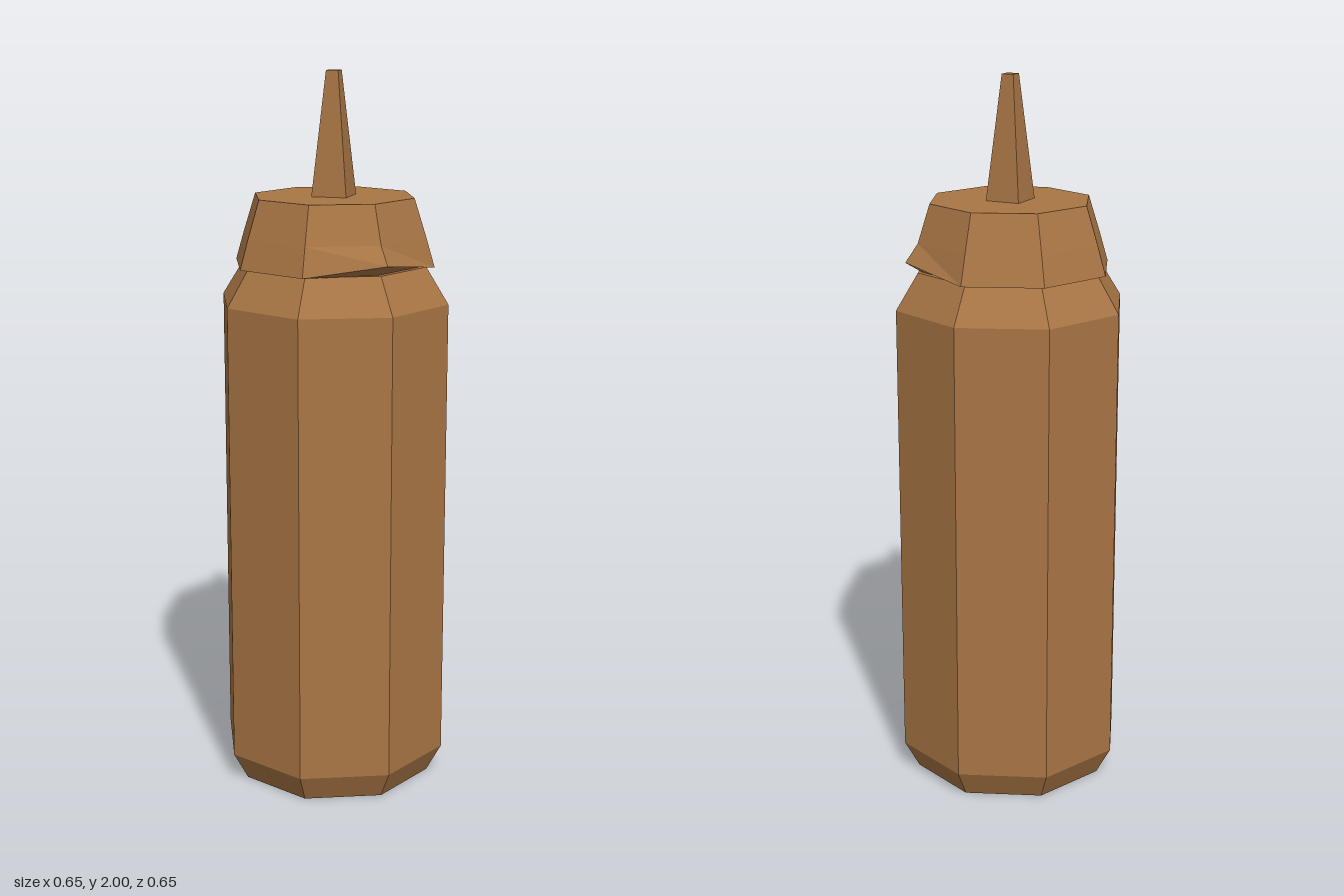
import * as THREE from 'three';

const tan = new THREE.MeshStandardMaterial({ color: 0xa97645 });
tan.name = 'warmTan';

// Faceted solid of revolution from [radius, height] points, listed bottom to top
function facetedLathe(name, profile, sides, rule) {
  const points = profile.map(([r, y]) => new THREE.Vector2(r, y));
  const indexed = new THREE.LatheGeometry(points, sides);
  if (rule) {
    const p = indexed.attributes.position;
    const v = new THREE.Vector3();
    for (let i = 0; i < p.count; i++) {
      rule(v.fromBufferAttribute(p, i));
      p.setXYZ(i, v.x, v.y, v.z);
    }
  }
  const geometry = indexed.toNonIndexed();
  geometry.computeVertexNormals();
  const mesh = new THREE.Mesh(geometry, tan);
  mesh.name = name;
  return mesh;
}

// The cap rim flares up slightly at its left and front corners
function flareRim(v) {
  const onRim = Math.abs(v.y - 1.48) < 0.001;
  if (onRim && Math.max(v.x, v.z) > 0.28) {
    v.x *= 1.04;
    v.z *= 1.04;
    v.y = 1.51;
  }
}

export function createModel() {
  const model = new THREE.Group();
  model.name = 'squeezeBottle';

  // Octagonal body with bevelled foot and sloping shoulder
  model.add(facetedLathe('body', [
    [0, 0], [0.282, 0], [0.325, 0.08], [0.325, 1.38], [0.262, 1.48], [0, 1.48],
  ], 8));

  // Screw cap
  model.add(facetedLathe('cap', [
    [0.25, 1.481], [0.285, 1.48], [0.261, 1.56], [0.227, 1.665], [0, 1.665],
  ], 8, flareRim));

  // Four-sided tapering nozzle
  model.add(facetedLathe('nozzle', [
    [0.07, 1.66], [0.024, 2], [0, 2],
  ], 4));

  return model;
}
